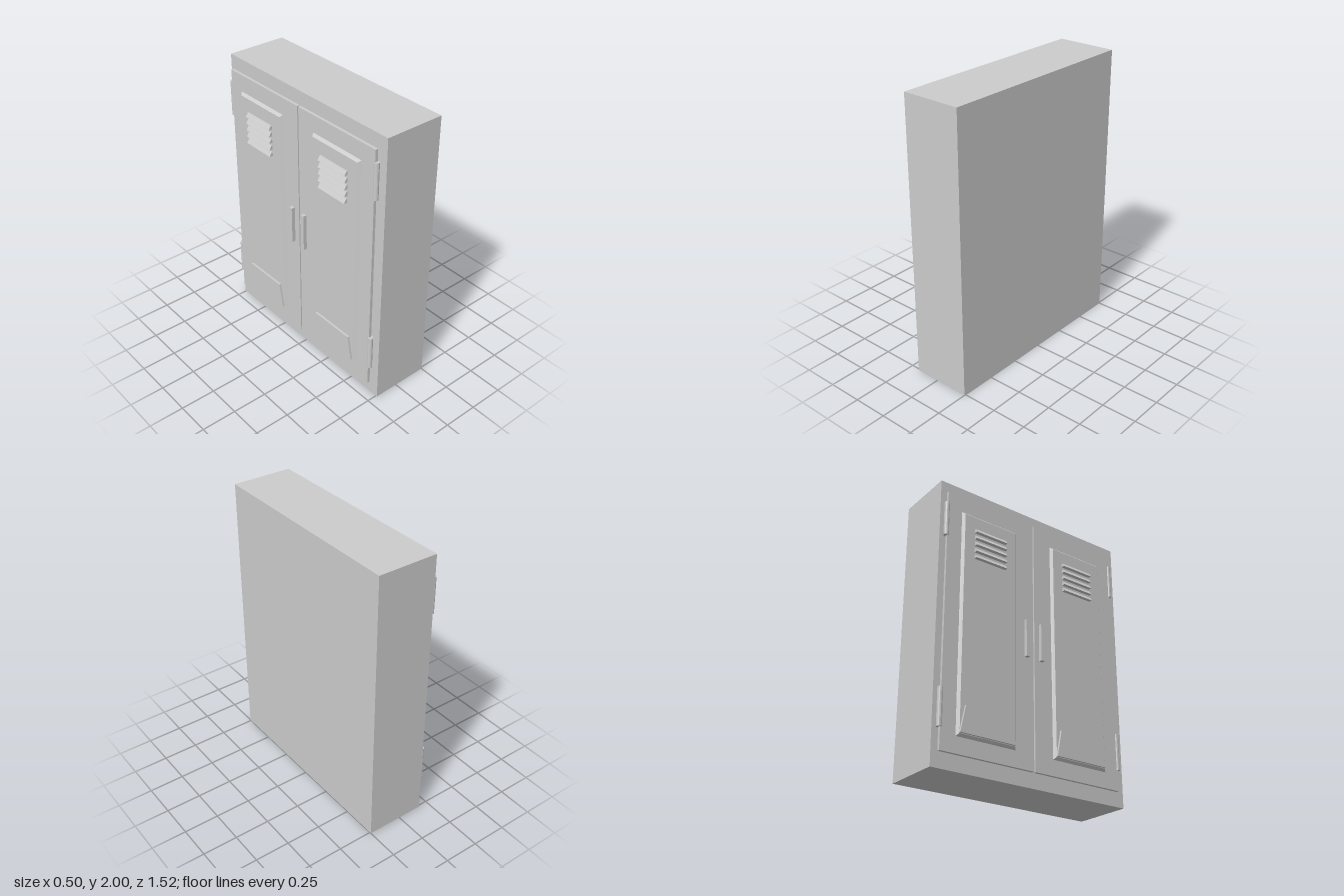
import * as THREE from 'three';

const material = new THREE.MeshStandardMaterial({ color: 0xcccccc, flatShading: true });

function add(parent, name, geometry) {
  const mesh = new THREE.Mesh(geometry, material);
  mesh.name = name;
  parent.add(mesh);
  return mesh;
}

// Box from its limits; reshape may move each corner
function block([x0, x1], [y0, y1], [z0, z1], reshape) {
  const g = new THREE.BoxGeometry(x1 - x0, y1 - y0, z1 - z0);
  g.translate((x0 + x1) / 2, (y0 + y1) / 2, (z0 + z1) / 2);
  if (reshape) {
    const p = g.attributes.position;
    const v = new THREE.Vector3();
    const mid = new THREE.Vector3((x0 + x1) / 2, (y0 + y1) / 2, (z0 + z1) / 2);
    for (let i = 0; i < p.count; i++) {
      v.fromBufferAttribute(p, i);
      reshape(v, v.clone().sub(mid));
      p.setXYZ(i, v.x, v.y, v.z);
    }
    g.computeVertexNormals();
  }
  return g;
}

// Pulls the outer (-x) face inward to make a bevel
const bevel = (inset) => (v, d) => {
  if (d.x < 0) {
    v.y -= Math.sign(d.y) * inset;
    v.z -= Math.sign(d.z) * inset;
  }
};

// Everything pressed into or fixed on one door, z offset by shift
function createDoor(name, [z0, z1], handleZ, hingeZ, shift) {
  const door = new THREE.Group();
  door.name = name;
  add(door, 'doorSheet', block([-0.21, -0.19], [0.1, 1.91], [z0, z1]));

  add(door, 'raisedPanel',
    block([-0.228, -0.21], [0.21, 1.79], [-0.61 + shift, -0.165 + shift], bevel(0.017)));

  // Kick plate narrows toward its top
  add(door, 'kickPlate',
    block([-0.243, -0.226], [0.23, 0.41], [-0.597 + shift, -0.187 + shift], (v, d) => {
      if (d.y > 0) v.z -= Math.sign(d.z) * 0.036;
    }));

  // Vent slats with a sloping outer face
  for (let i = 0; i < 5; i++) {
    const y = 1.455 + i * 0.049;
    add(door, 'ventSlat',
      block([-0.254, -0.178], [y, y + 0.028], [-0.515 + shift, -0.265 + shift], (v, d) => {
        if (d.x < 0 && d.y > 0) v.x += 0.017;
      }));
  }

  add(door, 'handle',
    block([-0.236, -0.21], [0.87, 1.14], [handleZ - 0.014, handleZ + 0.014]));

  // Hinge barrels
  for (const y of [0.375, 1.7]) {
    const hinge = add(door, 'hinge', new THREE.CylinderGeometry(0.018, 0.018, 0.255, 12));
    hinge.position.set(-0.2, y, hingeZ);
  }
  return door;
}

export function createModel() {
  const model = new THREE.Group();
  model.name = 'doubleLocker';
  add(model, 'cabinet', block([-0.178, 0.25], [0, 2], [-0.76, 0.76]));
  model.add(createDoor('firstDoor', [-0.72, -0.018], -0.078, -0.722, 0));
  model.add(createDoor('secondDoor', [-0.008, 0.695], 0.045, 0.699, 0.745));
  return model;
}
